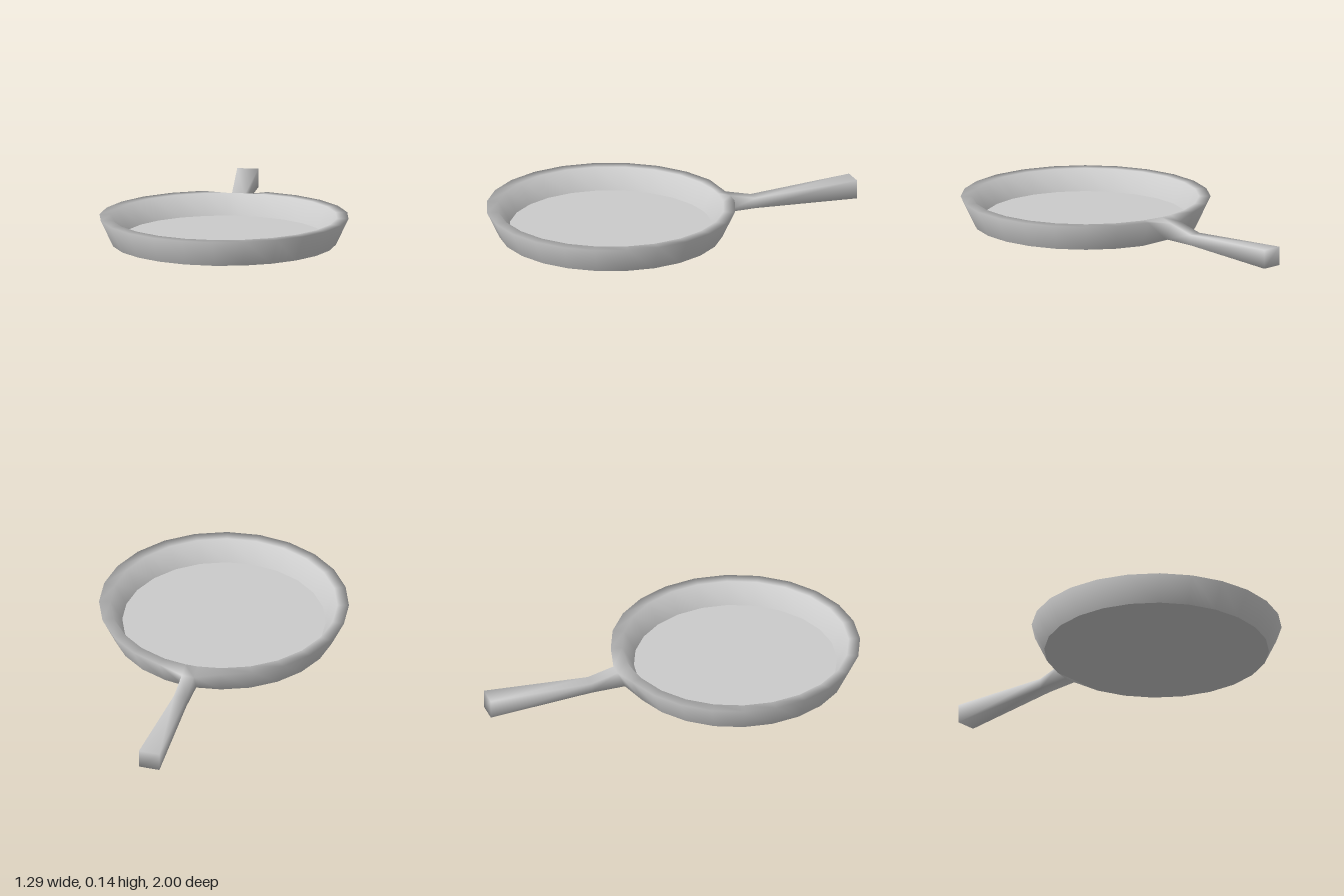
import * as THREE from 'three';

const SIDES = 24;
const CENTRE_Z = 0.355;
const ROOT_X = 0.033; // half width of the handle where it leaves the rim

// Wall profile [radius, height]: base edge, outer lip, inner lip, floor edge
const PROFILE = [[0.58, 0], [0.645, 0.137], [0.585, 0.137], [0.525, 0.03]];
const ROWS = PROFILE.length;

// Where the back of the pan is drawn out into the handle: [height, z]
const ROOT = [[0.025, -0.26], [0.115, -0.3]];

// Handle sections: z, half width, bottom, top
const HANDLE = [[-0.44, 0.033, 0.025, 0.08], [-1, 0.055, 0.005, 0.103]];

// One upright strip of the wall; the first and last flank the handle
function column(j) {
  const side = j === 0 ? 1 : j === SIDES ? -1 : 0;
  const angle = (j / SIDES) * Math.PI * 2;
  return PROFILE.map(([r, y], row) => {
    if (!side) return [r * Math.sin(angle), y, CENTRE_Z - r * Math.cos(angle)];
    if (row < 2) return [side * ROOT_X, ROOT[row][0], ROOT[row][1]];
    return [side * ROOT_X, y, CENTRE_Z - Math.sqrt(r * r - ROOT_X * ROOT_X)];
  });
}

function makeMesh(name, points, index) {
  const geometry = new THREE.BufferGeometry();
  geometry.setAttribute('position', new THREE.Float32BufferAttribute(points.flat(), 3));
  geometry.setIndex(index);
  geometry.computeVertexNormals();
  const mesh = new THREE.Mesh(geometry, new THREE.MeshStandardMaterial({ color: 0xcccccc }));
  mesh.name = name;
  return mesh;
}

// Flat polygon filled as a fan
function makeDisc(name, points) {
  const index = [];
  for (let i = 1; i < points.length - 1; i++) index.push(0, i, i + 1);
  return makeMesh(name, points, index);
}

export function createModel() {
  const group = new THREE.Group();
  group.name = 'fryingPan';

  const columns = Array.from({ length: SIDES + 1 }, (_, j) => column(j));
  const points = columns.flat();
  const index = [];
  const quad = (a, b, c, d) => index.push(a, b, c, a, c, d);
  const at = (j, row) => j * ROWS + row;

  // Outer wall, rim and inner wall, left open at the back for the handle
  for (let j = 0; j <= SIDES; j++) {
    const next = (j + 1) % (SIDES + 1);
    for (let row = j === SIDES ? 1 : 0; row < ROWS - 1; row++) {
      quad(at(j, row), at(j, row + 1), at(next, row + 1), at(next, row));
    }
  }

  // Sloping underside between the base and the handle
  quad(at(0, 0), at(1, 0), at(SIDES - 1, 0), at(SIDES, 0));

  // Handle drawn out of the wall, flaring to a square end
  let loop = [at(0, 0), at(0, 1), at(SIDES, 1), at(SIDES, 0)];
  for (const [z, w, bottom, top] of HANDLE) {
    const start = points.length;
    points.push([w, bottom, z], [w, top, z], [-w, top, z], [-w, bottom, z]);
    const nextLoop = [0, 1, 2, 3].map((i) => start + i);
    for (let i = 0; i < 4; i++) {
      const k = (i + 1) % 4;
      quad(loop[i], nextLoop[i], nextLoop[k], loop[k]);
    }
    loop = nextLoop;
  }
  quad(loop[0], loop[3], loop[2], loop[1]);
  group.add(makeMesh('wallAndHandle', points, index));

  // Flat cooking floor and flat base
  group.add(makeDisc('floor', columns.map((c) => c[ROWS - 1]).reverse()));
  group.add(makeDisc('base', columns.slice(1, SIDES).map((c) => c[0])));

  return group;
}
